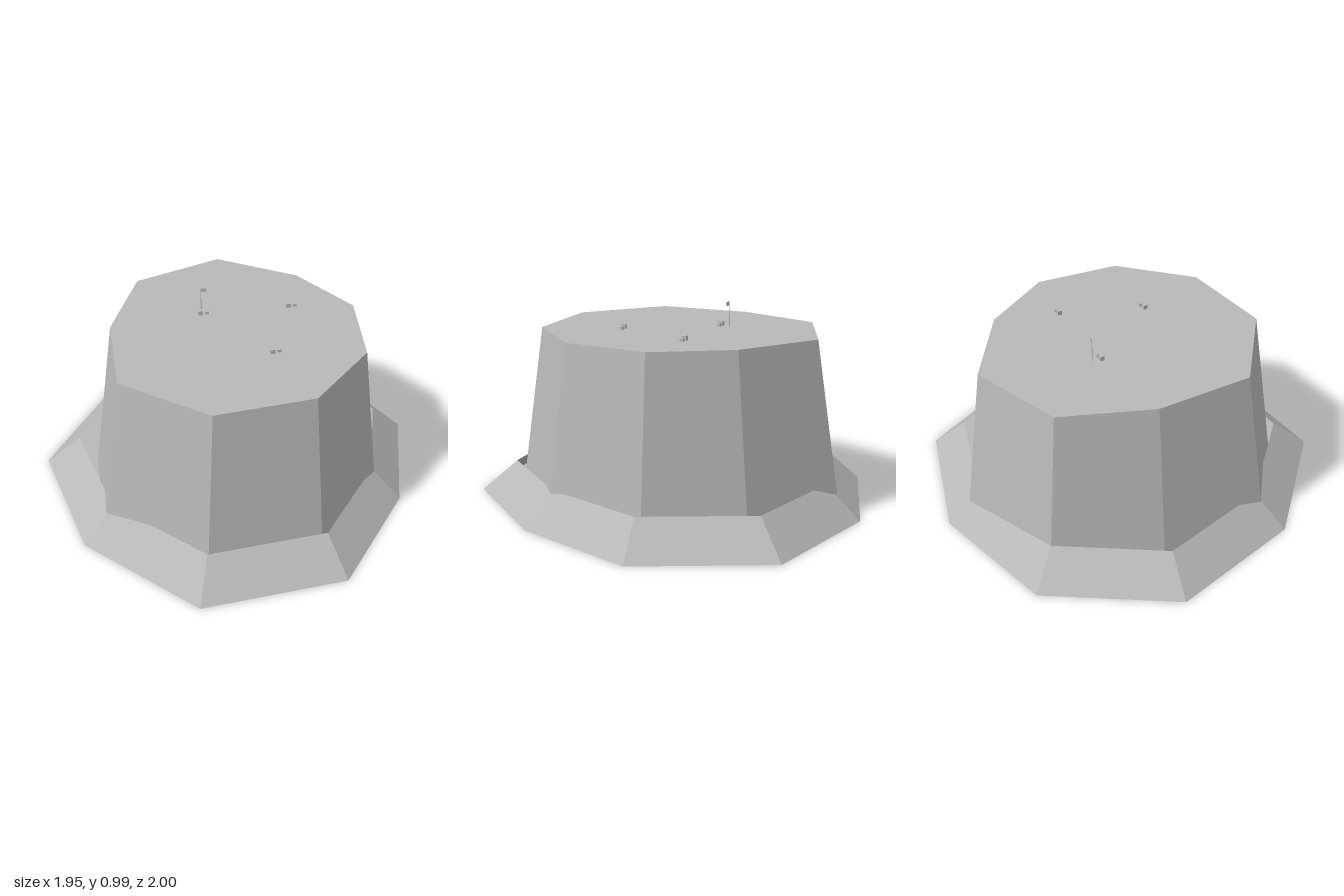
import * as THREE from 'three';

// Double sided because the skirt is an open shell around the plateau
const stone = new THREE.MeshStandardMaterial({ color: 0xb8b8b8, side: THREE.DoubleSide });
stone.name = 'grey stone';

// Nine-sided outlines as [x, z], starting at the back and running towards +x
const skirtFoot = [
  [-0.09, -1], [0.58, -0.94], [0.975, -0.39], [0.9, 0.24], [0.58, 0.82],
  [-0.12, 1], [-0.7, 0.59], [-0.975, -0.06], [-0.7, -0.71],
];
const plateauTop = [
  [-0.055, -0.765], [0.37, -0.585], [0.645, -0.275], [0.67, 0.16], [0.41, 0.53],
  [-0.06, 0.66], [-0.5, 0.42], [-0.58, -0.06], [-0.48, -0.52],
];

// Scaled and shifted copy of an outline
const scaleRing = (ring, s, dx, dz) => ring.map(([x, z]) => [x * s + dx, z * s + dz]);

// Flat-faced frustum between two outlines, with optional caps
function frustum(bottom, top, height, capBottom, capTop) {
  const pos = [];
  const low = bottom.map(([x, z]) => [x, 0, z]);
  const high = top.map(([x, z]) => [x, height, z]);
  const tri = (a, b, c) => pos.push(...a, ...b, ...c);
  for (let i = 0; i < low.length; i++) {
    const j = (i + 1) % low.length;
    tri(low[j], low[i], high[i]);
    tri(low[j], high[i], high[j]);
    if (capBottom) tri([0, 0, 0], low[i], low[j]);
    if (capTop) tri([0, height, 0], high[j], high[i]);
  }
  const geo = new THREE.BufferGeometry();
  geo.setAttribute('position', new THREE.Float32BufferAttribute(pos, 3));
  geo.computeVertexNormals();
  return geo;
}

export function createModel() {
  const model = new THREE.Group();
  model.name = 'mesa';
  const add = (parent, name, geo, x = 0, y = 0, z = 0) => {
    const mesh = new THREE.Mesh(geo, stone);
    mesh.name = name;
    mesh.position.set(x, y, z);
    parent.add(mesh);
    return mesh;
  };

  // Sloping skirt, open at the top, with a closed base
  add(model, 'skirt', frustum(skirtFoot, scaleRing(skirtFoot, 0.8205, 0.01, -0.01), 0.16, true, false));

  // Steep plateau that pokes through the skirt in places
  const topY = 0.86;
  add(model, 'plateau', frustum(scaleRing(plateauTop, 1.188, -0.016, 0.01), plateauTop, topY, false, true));

  // Three tiny huts, each a main block and a lower annex
  const huts = [[-0.135, -0.185, 0.15], [0.312, -0.261, 0.15], [0.218, 0.163, 0.25]];
  for (const [x, z, turn] of huts) {
    const hut = new THREE.Group();
    hut.name = 'hut';
    hut.position.set(x, topY, z);
    hut.rotation.y = turn;
    add(hut, 'hutBlock', new THREE.BoxGeometry(0.022, 0.022, 0.022), 0, 0.011, 0);
    add(hut, 'hutAnnex', new THREE.BoxGeometry(0.018, 0.015, 0.016), 0.033, 0.0075, -0.002);
    model.add(hut);
  }

  // Flagpole with a small flag
  add(model, 'flagpole', new THREE.CylinderGeometry(0.002, 0.002, 0.125, 6), -0.133, topY + 0.0625, -0.23);
  add(model, 'flag', new THREE.BoxGeometry(0.026, 0.02, 0.002), -0.12, 0.975, -0.23);

  return model;
}
